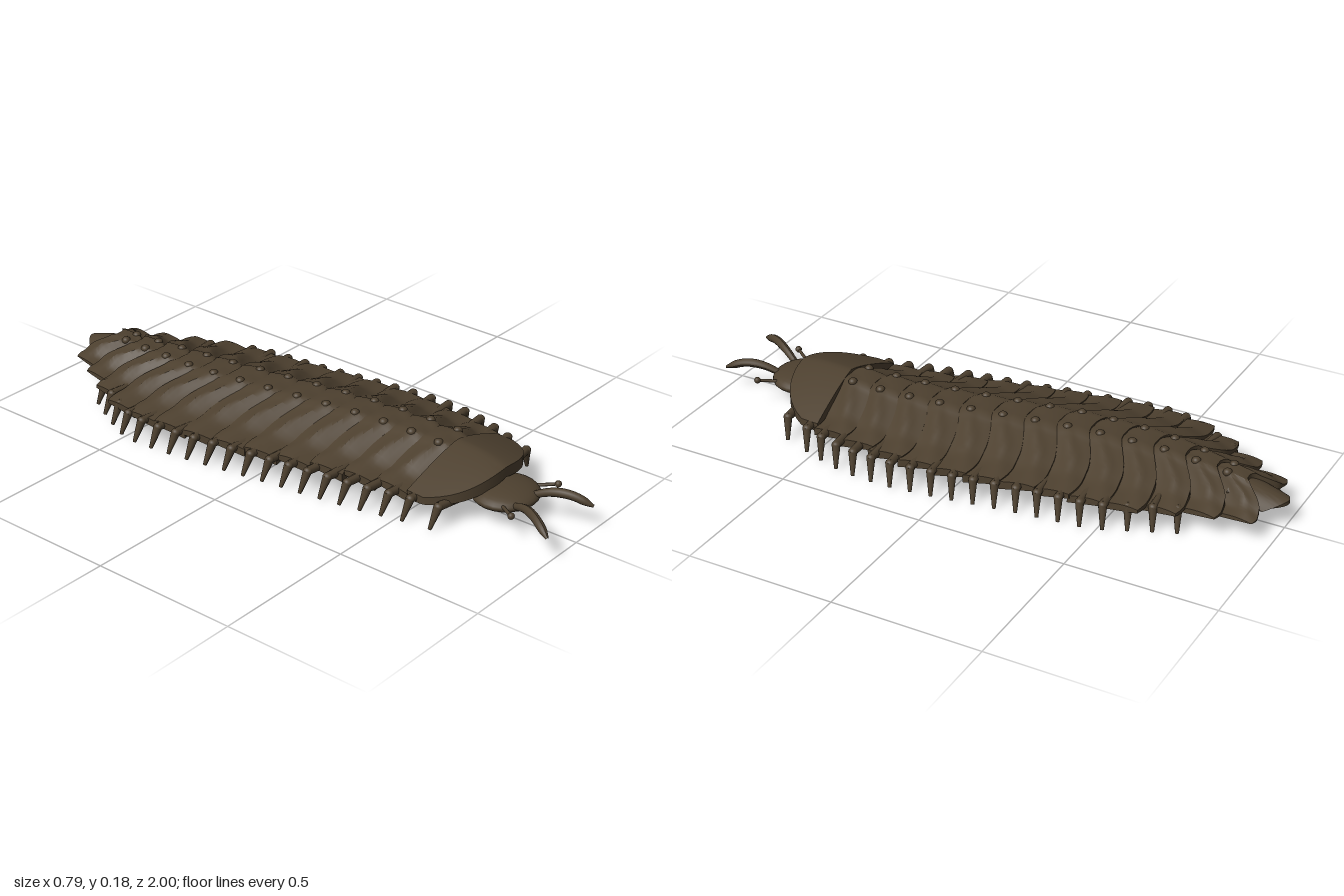
import * as THREE from 'three';
import { toCreasedNormals } from 'three/addons/utils/BufferGeometryUtils.js';

const shell = new THREE.MeshStandardMaterial({ color: 0x4d402f });
shell.name = 'dark brown shell';

// sideways sway of the spine along the body
const sway = (z) => 0.05 * Math.sin(Math.PI * (z + 0.08) / 0.95);

// piecewise linear lookup through [position, value] pairs
function lookup(pairs, s) {
  for (let i = 1; i < pairs.length; i++) {
    const [a, va] = pairs[i - 1], [b, vb] = pairs[i];
    if (s <= b) return va + (vb - va) * (s - a) / (b - a);
  }
  return pairs[pairs.length - 1][1];
}

// arched back: raised centre, a step, a straight slope, then a flat rim
const archProfile = [[0, 0.171], [0.18, 0.168], [0.26, 0.154], [0.72, 0.096], [1, 0.087]];

function add(group, name, geometry) {
  const mesh = new THREE.Mesh(geometry, shell);
  mesh.name = name;
  group.add(mesh);
  return mesh;
}

// closed plate lofted across x; surface(s, t) gives [z, top y, bottom y]
function plateGeometry(halfWidth, surface, cx = sway) {
  const columns = 32, rows = 7, ring = rows + 3;
  const pos = [], index = [];
  for (let i = 0; i <= columns; i++) {
    const u = (i / columns) * 2 - 1, s = Math.abs(u);
    const put = (t, bottom) => {
      const [z, top, under] = surface(s, t);
      pos.push(cx(z) + u * halfWidth, bottom ? under : top, z);
    };
    put(0, true);
    for (let j = 0; j <= rows; j++) put(j / rows, false);
    put(1, true);
  }
  for (let i = 0; i < columns; i++) {
    for (let j = 0; j < ring; j++) {
      const k = (j + 1) % ring;
      const a = i * ring + j, b = a + ring, c = (i + 1) * ring + k, d = i * ring + k;
      index.push(a, b, c, a, c, d);
    }
  }
  const end = columns * ring;
  for (let j = 1; j < ring - 1; j++) {
    index.push(0, j, j + 1, end, end + j + 1, end + j);
  }
  const g = new THREE.BufferGeometry();
  g.setAttribute('position', new THREE.Float32BufferAttribute(pos, 3));
  g.setIndex(index);
  return toCreasedNormals(g, 0.6);
}

// tapered rod between two points
function rod(group, name, p, q, r1, r2) {
  const a = new THREE.Vector3(...p), b = new THREE.Vector3(...q);
  const dir = b.clone().sub(a);
  const mesh = add(group, name, new THREE.CylinderGeometry(r2, r1, dir.length(), 8));
  mesh.position.copy(a).add(b).multiplyScalar(0.5);
  mesh.quaternion.setFromUnitVectors(new THREE.Vector3(0, 1, 0), dir.normalize());
}

function ball(group, name, center, radii) {
  const mesh = add(group, name, new THREE.SphereGeometry(1, 24, 16));
  mesh.position.set(...center);
  mesh.scale.set(...radii);
}

export function createModel() {
  const model = new THREE.Group();
  model.name = 'manyLeggedCrawler';

  // overlapping back plates, from the tail forward, each with two knobs
  const widths = [0.145, 0.19, 0.243, 0.29, 0.305, 0.308, 0.31, 0.31, 0.305, 0.295, 0.28, 0.262, 0.245];
  widths.forEach((hw, i) => {
    const z0 = -0.8 + i * 0.107;
    const lift = lookup([[0, 0.84], [2, 0.94], [5, 1], [12, 1]], i);
    const swept = lookup([[0, 0.085], [4, 0.08], [12, 0.035]], i);
    const surface = (s, t) => {
      const sweep = swept * THREE.MathUtils.smoothstep(s, 0.05, 0.6) + 0.008 * Math.sin(s * Math.PI * 3) * s;
      const z = z0 + 0.065 - sweep - t * (0.13 - 0.01 * s);
      const ridge = 0.014 * Math.exp(-Math.pow((t - 0.25 - 0.5 * s) / 0.2, 2)) * Math.sin(Math.PI * s);
      const dip = 0.022 * Math.pow(1 - t, 2) + 0.012 * Math.pow(t, 4);
      const top = lookup(archProfile, s) * lift - dip * (1 - 0.5 * s) + ridge;
      return [z, top, 0.05 + 0.016 * t];
    };
    add(model, 'backPlate', plateGeometry(hw, surface));
    const spread = lookup([[0, 0.026], [3, 0.045], [5, 0.05], [12, 0.05]], i);
    for (const side of [-1, 1]) {
      ball(model, 'knob', [sway(z0) + side * spread, 0.168 * lift - 0.007, z0], [0.015, 0.013, 0.015]);
    }
  });

  // rounded neck shield overhanging the head
  add(model, 'neckShield', plateGeometry(0.235, (s, t) => {
    const front = 0.725 - 0.1 * s * s - 0.05 * Math.pow(s, 6);
    const rear = 0.525 - 0.015 * s;
    const top = 0.168 - 0.083 * Math.pow(s, 1.3) - 0.018 * Math.pow(1 - t, 3) * (1 - s);
    return [front + (rear - front) * t, top, t === 0 ? 0.115 - 0.055 * s : 0.055];
  }, (z) => 0.9 * sway(z)));

  // blunt tail plate, widest two thirds of the way back
  add(model, 'tailPlate', plateGeometry(0.066, (s, t) => {
    const rear = -1 + 0.06 * Math.pow(s, 1.8);
    const z = -0.82 + (rear + 0.82) * t;
    return [z, 0.122 - 0.025 * s * s - 0.038 * Math.pow(t, 1.5), 0.06 + 0.01 * t];
  }, () => -0.026));

  // head and neck
  ball(model, 'head', [0.008, 0.072, 0.735], [0.112, 0.034, 0.105]);
  ball(model, 'neck', [0.018, 0.085, 0.63], [0.13, 0.036, 0.09]);

  // thick curved feelers and short ball-tipped palps
  const feelers = [
    [[-0.045, 0.072, 0.8], [-0.08, 0.1, 0.87], [-0.115, 0.103, 0.93], [-0.152, 0.08, 0.995]],
    [[0.035, 0.072, 0.8], [0.055, 0.1, 0.87], [0.072, 0.103, 0.93], [0.094, 0.08, 0.995]],
  ];
  for (const points of feelers) {
    const curve = new THREE.CatmullRomCurve3(points.map((p) => new THREE.Vector3(...p)));
    const g = new THREE.TubeGeometry(curve, 16, 0.015, 10, false);
    const p = g.attributes.position;
    for (let i = 0; i < p.count; i++) {
      const t = Math.floor(i / 11) / 16, c = curve.getPointAt(t);
      const k = lookup([[0, 0.7], [0.5, 1], [0.85, 0.9], [1, 0.3]], t);
      const v = new THREE.Vector3().fromBufferAttribute(p, i).sub(c).multiplyScalar(k).add(c);
      p.setXYZ(i, v.x, v.y, v.z);
    }
    g.computeVertexNormals();
    add(model, 'feeler', g);
  }
  for (const side of [-1, 1]) {
    const tip = [0.005 + side * 0.125, 0.086, 0.843];
    rod(model, 'palp', [0.005 + side * 0.085, 0.078, 0.785], tip, 0.006, 0.005);
    ball(model, 'palpTip', tip, [0.011, 0.011, 0.011]);
  }

  // close-set pairs of legs with pointed feet; the first pair stands apart
  const reach = [[-0.74, 0.22], [-0.62, 0.278], [-0.51, 0.33], [-0.42, 0.348], [0, 0.345],
    [0.2, 0.343], [0.32, 0.332], [0.42, 0.315], [0.52, 0.285], [0.64, 0.255]];
  for (let i = 0; i < 20; i++) {
    const z = i === 0 ? 0.635 : 0.54 - (i - 1) * 0.0695;
    const c = sway(z), r = lookup(reach, z);
    for (const side of [-1, 1]) {
      const knee = [c + side * (r - 0.025), 0.073, z - 0.004];
      rod(model, 'upperLeg', [c + side * r * 0.3, 0.066, z + 0.012], knee, 0.017, 0.014);
      ball(model, 'knee', knee, [0.014, 0.013, 0.015]);
      rod(model, 'lowerLeg', knee, [c + side * r, 0.001, z - 0.016], 0.015, 0.006);
    }
  }

  return model;
}
